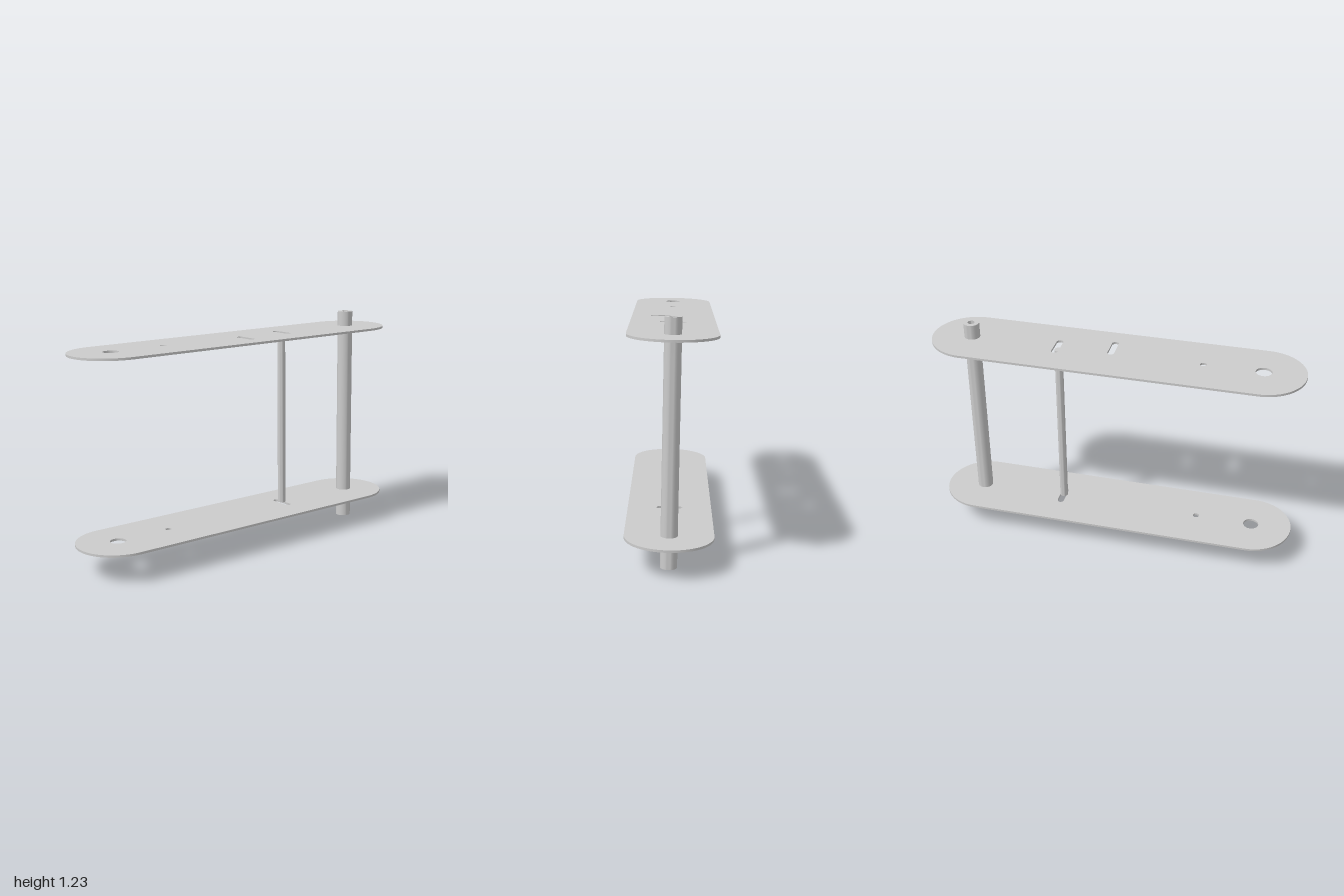
import * as THREE from 'three';
import { toCreasedNormals } from 'three/addons/utils/BufferGeometryUtils.js';

const HALF_WIDTH = 0.22, THICK = 0.012;

// Rounded slot along x (or along z for the plate outline), in plan coordinates (x, z)
function stadium(target, x, z, reach, r, alongZ = false) {
  const a = alongZ ? Math.PI / 2 : 0;
  const dx = alongZ ? 0 : reach, dz = alongZ ? reach : 0;
  target.absarc(x + dx, z + dz, r, a - Math.PI / 2, a + Math.PI / 2, false);
  target.absarc(x - dx, z - dz, r, a + Math.PI / 2, a + Math.PI * 1.5, false);
  target.closePath();
  return target;
}

function circle(x, z, r) {
  return new THREE.Path().absarc(x, z, r, 0, Math.PI * 2, false);
}

export function createModel() {
  const model = new THREE.Group();
  const material = new THREE.MeshStandardMaterial({ color: 0xcccccc });

  // The whole assembly leans slightly sideways
  const frame = new THREE.Group();
  frame.name = 'leaningFrame';
  frame.position.set(0.01, 0.001, 0);
  frame.rotation.z = 0.0196;
  model.add(frame);

  const add = (name, geometry, x, y, z) => {
    const mesh = new THREE.Mesh(toCreasedNormals(geometry, 0.6), material);
    mesh.name = name;
    mesh.position.set(x, y, z);
    frame.add(mesh);
  };

  // Long round-ended plate with its holes
  const plate = (name, y, slots) => {
    const shape = stadium(new THREE.Shape(), 0, 0, 1 - HALF_WIDTH, HALF_WIDTH, true);
    shape.holes.push(circle(0, 0.78, 0.042), circle(0, 0.47, 0.017), circle(0, -0.785, 0.042));
    for (const [x, z] of slots) shape.holes.push(stadium(new THREE.Path(), x, z, 0.05, 0.018));
    const geometry = new THREE.ExtrudeGeometry(shape, { depth: THICK, bevelEnabled: false, curveSegments: 24 });
    geometry.rotateX(Math.PI / 2).translate(0, THICK / 2, 0);
    add(name, geometry, 0, y, 0);
  };
  plate('lowerPlate', 0.154, [[0, -0.31]]);
  plate('upperPlate', 1.136, [[0, -0.31], [0.052, -0.02]]);

  // Thick shaft with a blind bore in each end
  const R = 0.042, r = 0.019, H = 1.224, d = 0.08;
  const profile = [[0, d], [r, d], [r, 0], [R, 0], [R, H], [r, H], [r, H - d], [0, H - d]];
  const shaft = new THREE.LatheGeometry(profile.map(([x, y]) => new THREE.Vector2(x, y)), 32);
  add('mainShaft', shaft, 0, 0, -0.785);

  // Thin spacer rod standing between the slots
  const low = 0.167, high = 1.122;
  add('spacerRod', new THREE.CylinderGeometry(0.022, 0.022, high - low, 24), 0.003, (low + high) / 2, -0.305);

  return model;
}
